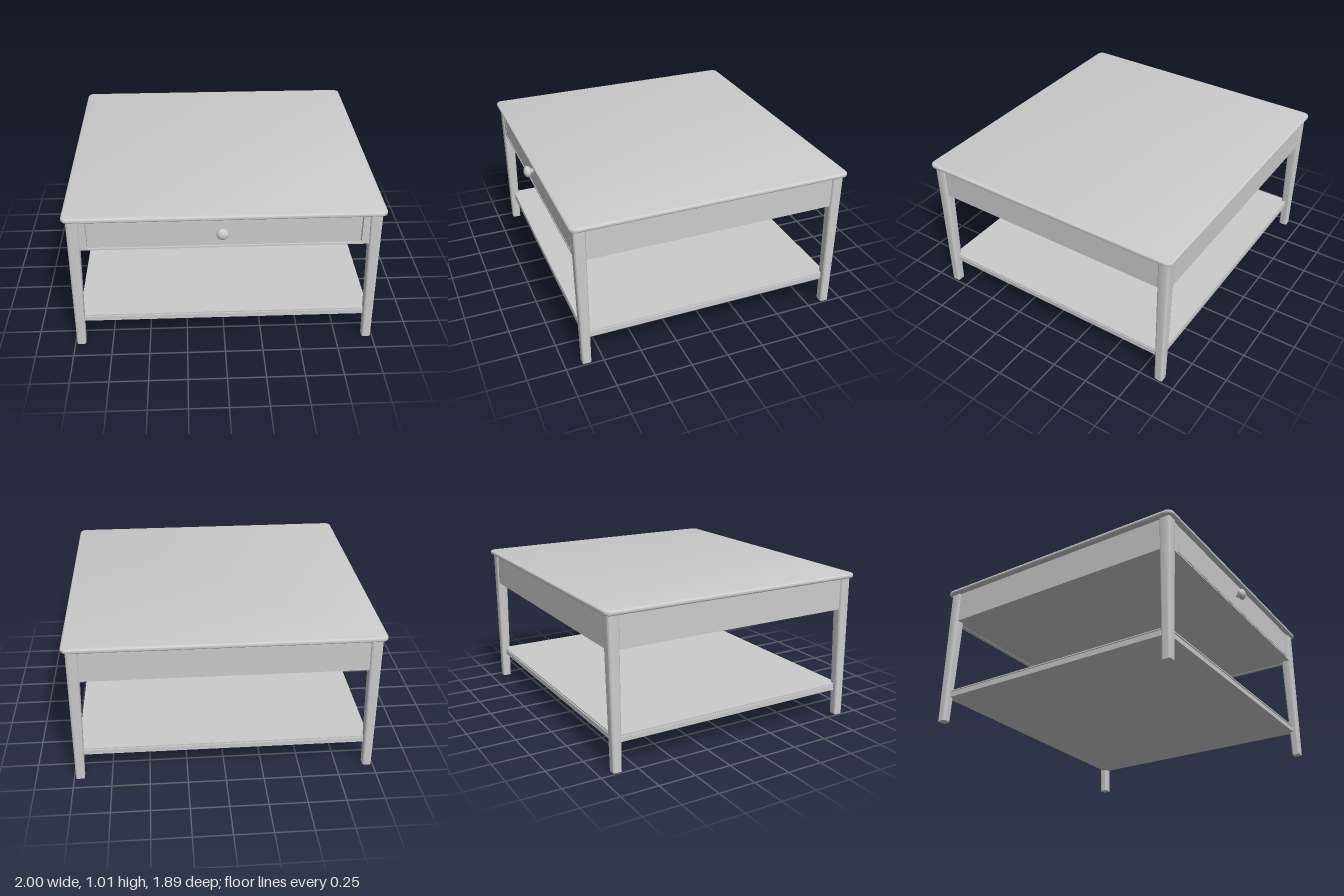
import * as THREE from 'three';
import { toCreasedNormals } from 'three/addons/utils/BufferGeometryUtils.js';

const material = new THREE.MeshStandardMaterial({ color: 0xcccccc });
const ZC = -0.012; // middle of the table body; the knob sticks out in front

function add(parent, name, geometry, x = 0, y = 0, z = 0) {
  const mesh = new THREE.Mesh(geometry, material);
  mesh.name = name;
  mesh.position.set(x, y, z);
  parent.add(mesh);
  return mesh;
}

// Box given by its limits on each axis
function slab(parent, name, [x0, x1], [y0, y1], [z0, z1]) {
  return add(parent, name, new THREE.BoxGeometry(x1 - x0, y1 - y0, z1 - z0),
    (x0 + x1) / 2, (y0 + y1) / 2, (z0 + z1) / 2);
}

function roundedRect(w, d, r) {
  const x = w / 2, y = d / 2, s = new THREE.Shape();
  s.moveTo(-x + r, -y).lineTo(x - r, -y);
  s.absarc(x - r, -y + r, r, -Math.PI / 2, 0);
  s.absarc(x - r, y - r, r, 0, Math.PI / 2);
  s.absarc(-x + r, y - r, r, Math.PI / 2, Math.PI);
  s.absarc(-x + r, -y + r, r, Math.PI, Math.PI * 1.5);
  return s;
}

// Tabletop with a bullnose edge and rounded corners
function topGeometry() {
  const b = 0.014;
  const g = new THREE.ExtrudeGeometry(roundedRect(2 - 2 * b, 1.864 - 2 * b, 0.03), {
    depth: 0.003, bevelEnabled: true, bevelSize: b, bevelThickness: b, bevelSegments: 5, curveSegments: 8,
  });
  g.rotateX(-Math.PI / 2);
  return toCreasedNormals(g, 0.6);
}

// Tapered leg with softened corners, splayed outwards towards the floor
function legGeometry(side) {
  const h = 0.98;
  const g = new THREE.ExtrudeGeometry(roundedRect(1, 1, 0.2), { depth: h, bevelEnabled: false, curveSegments: 4 });
  g.rotateX(-Math.PI / 2);
  const p = g.attributes.position;
  for (let i = 0; i < p.count; i++) {
    const t = p.getY(i) / h;
    const width = THREE.MathUtils.lerp(0.059, 0.078, t);
    const centre = side * THREE.MathUtils.lerp(0.96, 0.934, t);
    p.setXYZ(i, centre + p.getX(i) * width, p.getY(i), p.getZ(i) * width);
  }
  return toCreasedNormals(g, 0.6);
}

export function createModel() {
  const table = new THREE.Group();
  table.name = 'coffeeTable';

  add(table, 'tabletop', topGeometry(), 0, 0.992, ZC);

  for (const side of [1, -1]) {
    const label = side > 0 ? 'Left' : 'Right';
    add(table, `front${label}Leg`, legGeometry(side), 0, 0, 0.858);
    add(table, `back${label}Leg`, legGeometry(side), 0, 0, -0.882);
    const edges = [side * 0.93, side * 0.962].sort((a, b) => a - b);
    slab(table, `side${label}Apron`, edges, [0.762, 0.98], [-0.882, 0.858]);
  }
  slab(table, 'backApron', [-0.93, 0.93], [0.762, 0.98], [-0.91, -0.878]);
  slab(table, 'bottomPanel', [-0.93, 0.93], [0.764, 0.776], [-0.88, 0.86]);

  // Front frame, open at the top for the drawer
  const frame = new THREE.Shape([
    [-0.93, 0.762], [0.93, 0.762], [0.93, 0.98], [0.856, 0.98],
    [0.856, 0.773], [-0.856, 0.773], [-0.856, 0.98], [-0.93, 0.98],
  ].map(([x, y]) => new THREE.Vector2(x, y)));
  add(table, 'frontFrame', new THREE.ExtrudeGeometry(frame, { depth: 0.03, bevelEnabled: false }), 0, 0, 0.856);

  // Drawer
  const drawer = new THREE.Group();
  drawer.name = 'drawer';
  table.add(drawer);
  slab(drawer, 'drawerFront', [-0.849, 0.849], [0.78, 0.977], [0.85, 0.885]);
  slab(drawer, 'drawerBody', [-0.88, 0.88], [0.777, 0.978], [-0.8, 0.852]);

  // Round knob on a short stem
  const knobPoints = [[0.016, 0], [0.015, 0.012]];
  for (let i = 0; i <= 12; i++) {
    const a = -1.15 + (i / 12) * (Math.PI / 2 + 1.15);
    knobPoints.push([Math.max(0, 0.039 * Math.cos(a)), 0.041 + 0.027 * Math.sin(a)]);
  }
  const knob = new THREE.LatheGeometry(knobPoints.map(([r, y]) => new THREE.Vector2(r, y)), 28);
  knob.rotateX(Math.PI / 2);
  add(drawer, 'knob', knob, -0.017, 0.885, 0.882);

  // Lower shelf: a board on a frame with a shadow gap between them
  const shelf = new THREE.Group();
  shelf.name = 'shelf';
  table.add(shelf);
  const layers = [['shelfFrame', 0.176, 0.209, 0], ['shelfGap', 0.209, 0.217, 0.008], ['shelfBoard', 0.217, 0.225, 0]];
  for (const [name, y0, y1, inset] of layers) {
    const x = 0.955 - inset;
    slab(shelf, name, [-x, x], [y0, y1], [-0.882 + inset, 0.858 - inset]);
  }

  return table;
}
